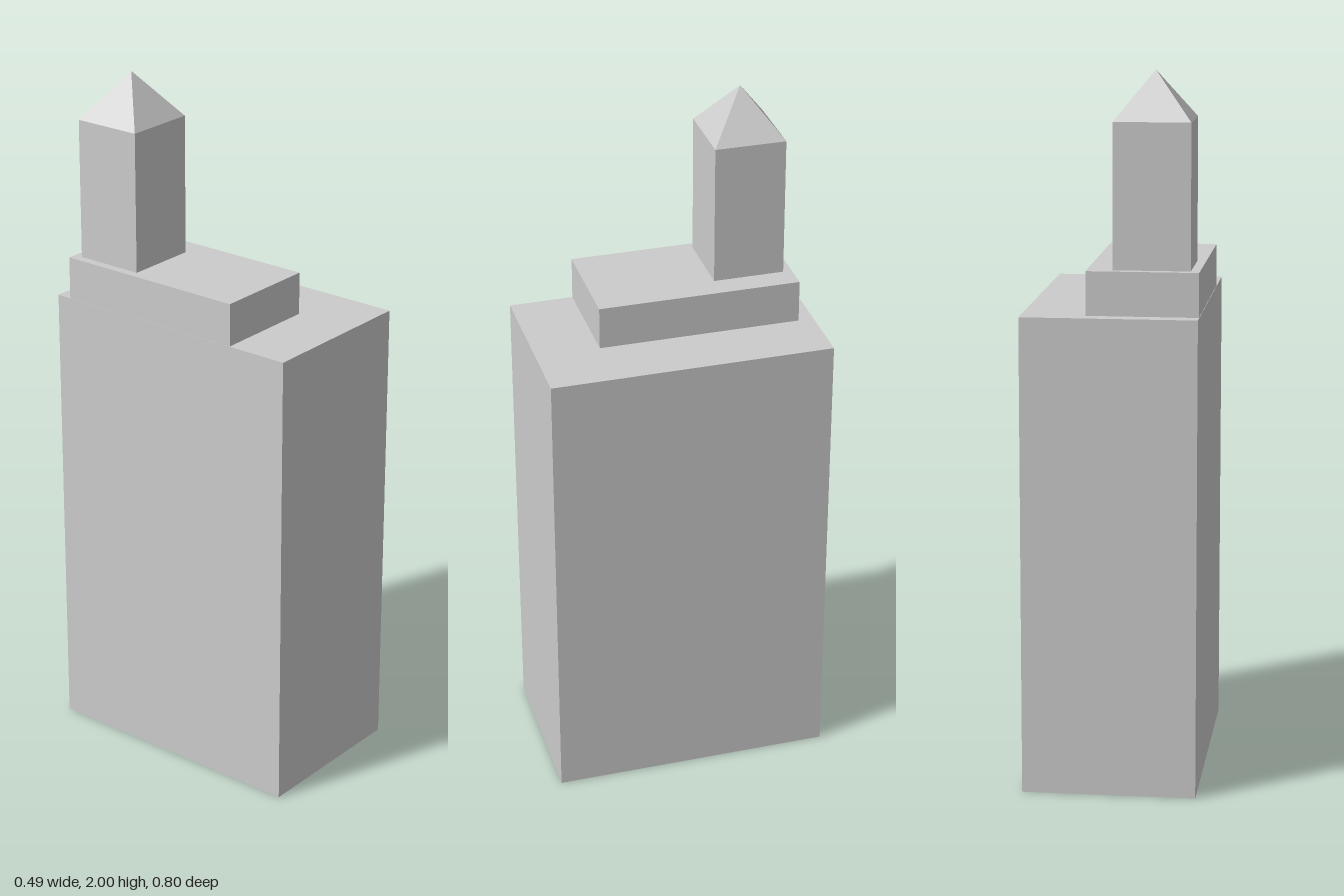
import * as THREE from 'three';

export function createModel() {
  const group = new THREE.Group();
  const material = new THREE.MeshStandardMaterial({ color: 0xcccccc, flatShading: true });

  // Scales a unit-sized geometry to fill the given ranges
  function addPart(name, geometry, [x0, x1], [y0, y1], [z0, z1]) {
    geometry.scale(x1 - x0, y1 - y0, z1 - z0);
    const mesh = new THREE.Mesh(geometry, material);
    mesh.name = name;
    mesh.position.set((x0 + x1) / 2, (y0 + y1) / 2, (z0 + z1) / 2);
    group.add(mesh);
  }
  const unitBox = () => new THREE.BoxGeometry(1, 1, 1);

  // Main block and the raised step on its roof
  addPart('mainBlock', unitBox(), [-0.243, 0.243], [0, 1.345], [-0.401, 0.401]);
  addPart('roofStep', unitBox(), [-0.242, 0.066], [1.345, 1.467], [-0.357, 0.219]);

  // Off-centre turret with its pyramid roof
  const turretX = [-0.217, -0.005];
  const turretZ = [-0.332, -0.13];
  addPart('turret', unitBox(), turretX, [1.467, 1.867], turretZ);
  const pyramid = new THREE.ConeGeometry(Math.SQRT1_2, 1, 4).rotateY(Math.PI / 4);
  addPart('turretRoof', pyramid, turretX, [1.867, 2], turretZ);

  return group;
}
